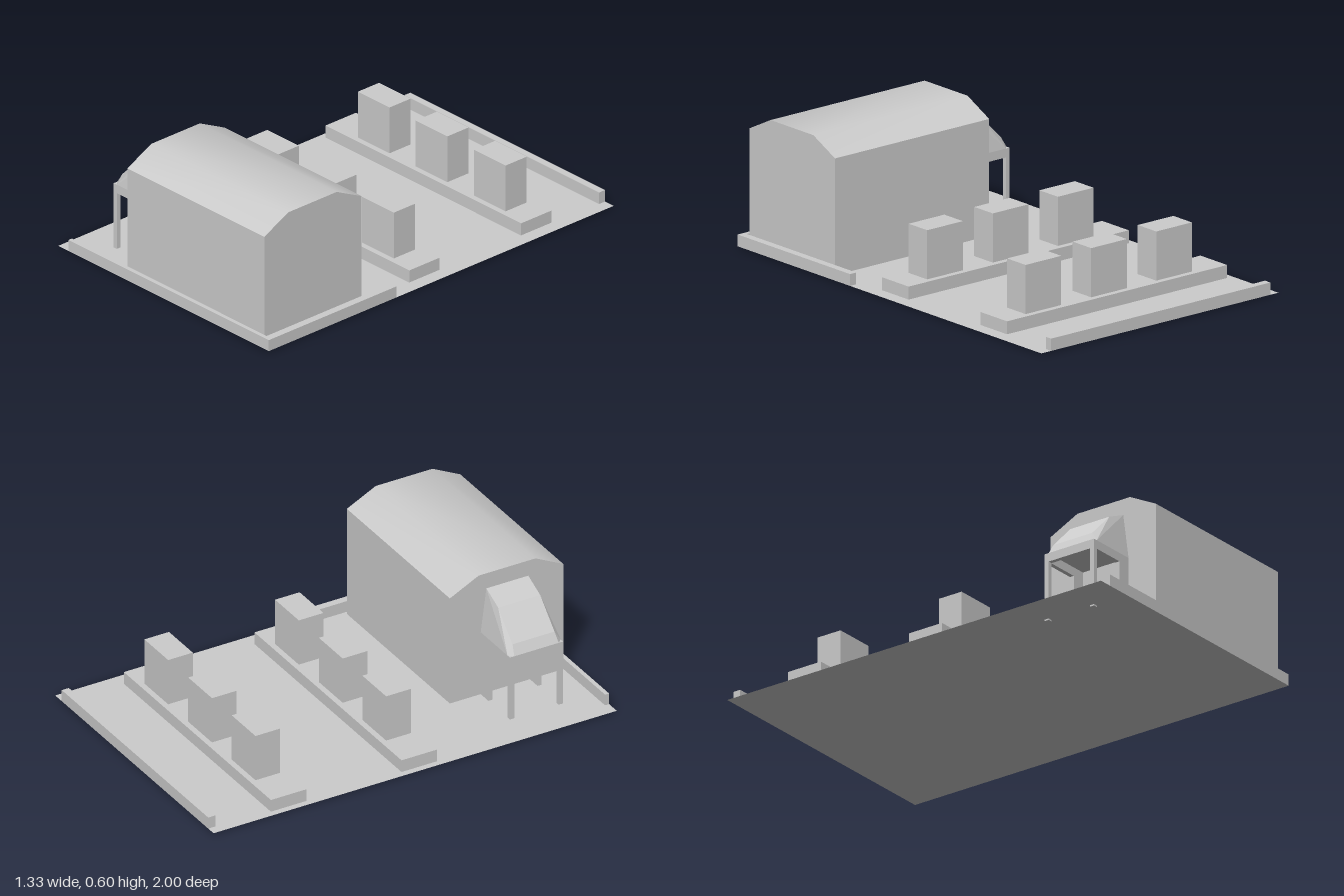
import * as THREE from 'three';
import { toCreasedNormals } from 'three/addons/utils/BufferGeometryUtils.js';
import { ConvexGeometry } from 'three/addons/geometries/ConvexGeometry.js';

const GROUND = 0.007;

export function createModel() {
  const model = new THREE.Group();
  const material = new THREE.MeshStandardMaterial({ color: 0xcccccc });
  const thin = new THREE.MeshStandardMaterial({ color: 0xcccccc, side: THREE.DoubleSide });

  const add = (name, geometry, mat = material) => {
    const mesh = new THREE.Mesh(geometry, mat);
    mesh.name = name;
    model.add(mesh);
    return mesh;
  };
  // Box given by its extents on each axis
  const box = (name, x0, x1, y0, y1, z0, z1) =>
    add(name, new THREE.BoxGeometry(x1 - x0, y1 - y0, z1 - z0))
      .position.set((x0 + x1) / 2, (y0 + y1) / 2, (z0 + z1) / 2);

  // Thin ground sheet
  const ground = add('ground', new THREE.PlaneGeometry(1.33, 2).rotateX(-Math.PI / 2), thin);
  ground.position.y = GROUND;

  // Low boundary walls
  box('frontCurb', -0.6, 0.665, GROUND, 0.06, 0.98, 1);
  box('sideCurb', 0.63, 0.665, GROUND, 0.06, 0.26, 0.98);
  box('backCurb', -0.62, 0.61, GROUND, 0.062, -1, -0.965);

  // Two rows of blocks on platforms
  for (const z of [-0.61, 0.038]) {
    box('platform', -0.635, 0.6, GROUND, 0.065, z - 0.088, z + 0.088);
    for (const x of [-0.36, 0.005, 0.373])
      box('block', x - 0.1, x + 0.1, 0.065, 0.285, z - 0.061, z + 0.061);
  }

  // Hall: its gambrel-like profile runs along x; shape x is -z
  const profile = new THREE.Shape([
    [-0.98, GROUND], [-0.417, GROUND], [-0.417, 0.53], [-0.56, 0.6], [-0.842, 0.6], [-0.98, 0.53],
  ].map(([x, y]) => new THREE.Vector2(x, y)));
  const hall = new THREE.ExtrudeGeometry(profile, { depth: 0.865, bevelEnabled: false });
  hall.rotateY(Math.PI / 2);
  add('hall', toCreasedNormals(hall, 0.6)).position.x = -0.25;

  // Porch canopy with hipped sides and clipped front corners
  const zc = 0.702;
  const points = [];
  for (const side of [-1, 1])
    for (const [x, y, w] of [
      [-0.25, 0.315, 0.132], [-0.25, 0.525, 0.104], [-0.35, 0.48, 0.104],
      [-0.47, 0.36, 0.104], [-0.475, 0.315, 0.132], [-0.495, 0.315, 0.11],
    ]) points.push(new THREE.Vector3(x, y, zc + side * w));
  add('porchCanopy', new ConvexGeometry(points));

  // Porch supports, mirrored about its centre line
  for (const side of [-1, 1]) {
    const span = (a, b) => [zc + side * a, zc + side * b].sort((p, q) => p - q);
    box('porchPost', -0.495, -0.475, 0, 0.315, ...span(0.11, 0.132));
    box('porchSideBeam', -0.475, -0.25, 0.275, 0.315, ...span(0.112, 0.132));
    box('porchSidePanel', -0.315, -0.25, GROUND, 0.275, ...span(0.112, 0.132));
  }
  box('porchFrontBeam', -0.495, -0.475, 0.275, 0.315, zc - 0.11, zc + 0.11);

  return model;
}
